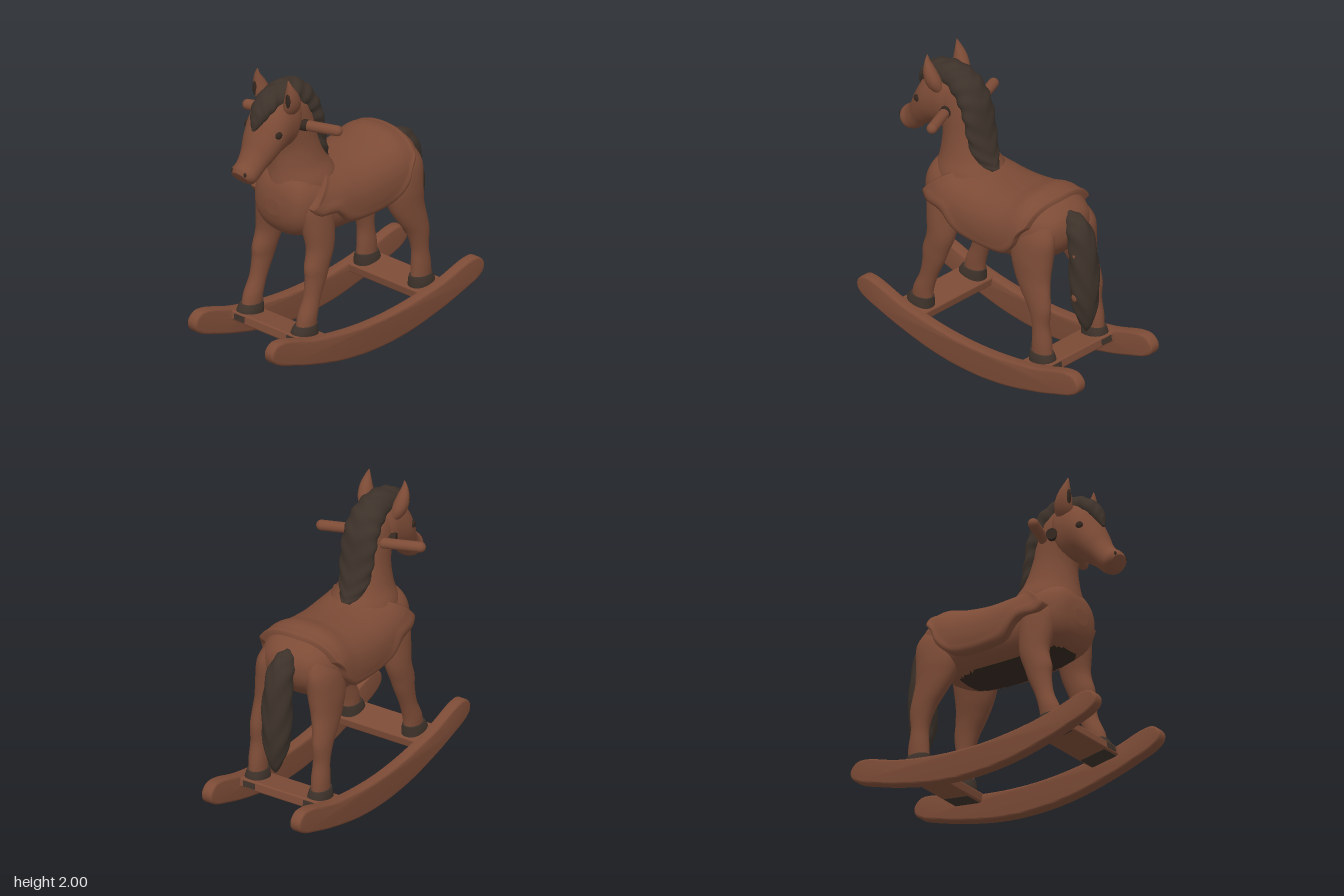
import * as THREE from 'three';
import { toCreasedNormals } from 'three/addons/utils/BufferGeometryUtils.js';
import { RoundedBoxGeometry } from 'three/addons/geometries/RoundedBoxGeometry.js';

const wood = new THREE.MeshStandardMaterial({ color: 0x7c4b36, side: THREE.DoubleSide });
wood.name = 'brownWood';
const dark = new THREE.MeshStandardMaterial({ color: 0x3d322a });
dark.name = 'darkHair';
const shade = new THREE.MeshStandardMaterial({ color: 0x33271f });
shade.name = 'darkDetail';

// Smooth interpolation of number rows, t in 0..1
function sample(rows, t) {
  const f = Math.min(t, 1) * (rows.length - 1);
  const i = Math.min(Math.floor(f), rows.length - 2), u = f - i;
  const a = rows[Math.max(i - 1, 0)], b = rows[i], c = rows[i + 1];
  const d = rows[Math.min(i + 2, rows.length - 1)];
  return b.map((v, k) => v + 0.5 * u * (c[k] - a[k]
    + u * (2 * a[k] - 5 * v + 4 * c[k] - d[k] + u * (3 * (v - c[k]) + d[k] - a[k]))));
}

function build(pos, idx) {
  // turn the faces outwards whatever the direction of the rings
  let vol = 0;
  const p = (i) => new THREE.Vector3(...pos.slice(i * 3, i * 3 + 3));
  for (let i = 0; i < idx.length; i += 3) vol += p(idx[i]).dot(p(idx[i + 1]).cross(p(idx[i + 2])));
  if (vol < 0) idx.reverse();
  const g = new THREE.BufferGeometry();
  g.setAttribute('position', new THREE.Float32BufferAttribute(pos, 3));
  g.setIndex(idx);
  g.computeVertexNormals();
  return g;
}

// Closed loft; each ring is [z1, y1, z2, y2, halfWidth, centreX], its two outline points in profile
function loft(rings, { side = 1, steps = 5, seg = 28, power = 1, ripple = null } = {}) {
  const rows = rings.map((r) => [...r, 0].slice(0, 6));
  const n = (rows.length - 1) * steps, pos = [], idx = [];
  for (let i = 0; i <= n; i++) {
    const [z1, y1, z2, y2, w, cx] = sample(rows, i / n);
    for (let j = 0; j < seg; j++) {
      const a = (j / seg) * Math.PI * 2;
      let c = Math.cos(a), s = Math.sin(a);
      if (power !== 1) {
        c = Math.sign(c) * Math.abs(c) ** power;
        s = Math.sign(s) * Math.abs(s) ** power;
      }
      const k = ripple ? 1 + ripple.amp * Math.sin(ripple.along * i / n + ripple.around * Math.acos(Math.cos(a))) : 1;
      pos.push(side * (cx + s * w * k), (y1 + y2) / 2 + (c * k * (y1 - y2)) / 2, (z1 + z2) / 2 + (c * k * (z1 - z2)) / 2);
      if (i < n) {
        const q = i * seg + j, r = i * seg + (j + 1) % seg;
        idx.push(q, r, q + seg, r, r + seg, q + seg);
      }
    }
  }
  // end caps
  for (const i of [0, n]) {
    const [z1, y1, z2, y2, , cx] = sample(rows, i / n), c = pos.length / 3;
    pos.push(side * cx, (y1 + y2) / 2, (z1 + z2) / 2);
    for (let j = 0; j < seg; j++) {
      const q = i * seg + j, r = i * seg + (j + 1) % seg;
      idx.push(...(i ? [q, r, c] : [r, q, c]));
    }
  }
  return build(pos, idx);
}

// Sorts faces into two material groups: 1 where test(y, z) holds, else 0
function paint(g, test) {
  const sets = [[], []], p = g.attributes.position, ix = g.index.array;
  for (let i = 0; i < ix.length; i += 3) {
    const f = [ix[i], ix[i + 1], ix[i + 2]];
    const mean = (get) => f.reduce((sum, v) => sum + p[get](v) / 3, 0);
    sets[test(mean('getY'), mean('getZ')) ? 1 : 0].push(...f);
  }
  g.setIndex([...sets[0], ...sets[1]]);
  g.addGroup(0, sets[0].length, 0);
  g.addGroup(sets[0].length, sets[1].length, 1);
  return g;
}

// Barrel from chest to rump
const bodyRings = [
  [0.585, 1.12, 0.585, 1.02, 0.06], [0.56, 1.22, 0.56, 0.94, 0.165], [0.5, 1.29, 0.5, 0.87, 0.225],
  [0.38, 1.3, 0.38, 0.83, 0.255], [0.2, 1.27, 0.2, 0.812, 0.275], [0, 1.26, 0, 0.81, 0.285],
  [-0.2, 1.285, -0.2, 0.817, 0.285], [-0.34, 1.32, -0.34, 0.84, 0.28], [-0.46, 1.29, -0.46, 0.9, 0.25],
  [-0.55, 1.23, -0.55, 0.99, 0.18], [-0.59, 1.16, -0.59, 1.07, 0.07]];
const POWER = 0.85;

function bodyAt(z) {
  let lo = 0, hi = 1;
  for (let k = 0; k < 25; k++) {
    const m = (lo + hi) / 2;
    if (sample(bodyRings, m)[0] > z) lo = m; else hi = m;
  }
  return sample(bodyRings, lo);
}

// Saddle cloth draped over the barrel, with a rolled hem
function clothGeometry() {
  const hem = [[0.49, 1.1], [0.44, 1.05], [0.3, 1.035], [0.19, 0.935], [0.08, 0.91], [-0.08, 0.905],
    [-0.23, 0.93], [-0.33, 1.02], [-0.37, 1.11], [-0.43, 1.17]];
  const N = 48, M = 56, pos = [], idx = [];
  for (let i = 0; i <= N; i++) for (let j = 0; j <= M; j++) {
    const t = THREE.MathUtils.clamp((i - 1) / (N - 2), 0, 1);
    const s = THREE.MathUtils.clamp((j - 1) / (M - 2), 0, 1) * 2 - 1, e = Math.abs(s);
    const [hz, hy] = sample(hem, t);
    const z = THREE.MathUtils.lerp(0.2 - 0.67 * t, hz, e ** 1.3);
    const [, top, , bottom, w] = bodyAt(z), cy = (top + bottom) / 2, h = (top - bottom) / 2;
    const v = THREE.MathUtils.clamp((hy - cy) / h, -0.95, 0.95);
    const a = s * Math.acos(Math.sign(v) * Math.abs(v) ** (1 / POWER));
    const c = Math.cos(a), sn = Math.sin(a);
    const rim = i === 0 || j === 0 || i === N || j === M;
    const edge = Math.min(t, 1 - t, (1 - e) / 2);
    const o = rim ? -0.015 : 0.018 + 0.028 * e * e + 0.01 * Math.exp(-((edge - 0.03) ** 2) / 0.0005);
    pos.push(Math.sign(sn) * Math.abs(sn) ** POWER * w + sn * o, cy + Math.sign(c) * Math.abs(c) ** POWER * h + Math.max(c, 0) * o, z);
    if (i < N && j < M) {
      const q = i * (M + 1) + j;
      idx.push(q, q + 1, q + M + 1, q + 1, q + M + 2, q + M + 1);
    }
  }
  return build(pos.map((v, k) => (k % 3 === 1 ? v - 1 : v)), idx).translate(0, 1, 0);
}

function rockerGeometry() {
  const half = [[0.3, 0.213], [0.6, 0.263], [0.84, 0.333], [0.92, 0.332], [0.968, 0.285], [0.965, 0.235],
    [0.92, 0.193], [0.77, 0.138], [0.6, 0.087], [0.3, 0.022]];
  const pts = [[0, 0.195], ...half, [0, 0], ...half.map(([z, y]) => [-z, y]).reverse()];
  const curve = new THREE.CatmullRomCurve3(pts.map(([z, y]) => new THREE.Vector3(z, y, 0)), true);
  const shape = new THREE.Shape(curve.getPoints(100).slice(0, -1).map((p) => new THREE.Vector2(p.x, p.y)));
  const g = new THREE.ExtrudeGeometry(shape, { depth: 0.05, bevelThickness: 0.015, bevelSize: 0.015, bevelOffset: -0.015, bevelSegments: 3 });
  return toCreasedNormals(g.rotateY(-Math.PI / 2).translate(0.025, 0, 0), 0.6);
}

export function createModel() {
  const model = new THREE.Group();
  const add = (name, geometry, material, x = 0, y = 0, z = 0, parent = model) => {
    const m = new THREE.Mesh(geometry, material);
    m.name = name;
    m.position.set(x, y, z);
    parent.add(m);
    return m;
  };

  // Body with a dark underside
  add('body', paint(loft(bodyRings, { power: POWER, seg: 56, steps: 7 }), (y, z) => z > -0.3 && y < (z > 0.3 ? 0.865 : 0.84)), [wood, shade]);
  add('saddleCloth', clothGeometry(), wood);
  add('neck', loft([
    [0.53, 1.0, 0, 1.06, 0.2], [0.56, 1.18, 0.08, 1.24, 0.22], [0.538, 1.32, 0.16, 1.36, 0.165],
    [0.53, 1.45, 0.215, 1.5, 0.134], [0.56, 1.56, 0.25, 1.66, 0.125], [0.62, 1.66, 0.31, 1.8, 0.12],
    [0.62, 1.78, 0.42, 1.87, 0.09]]), wood);
  add('head', loft([
    [0.35, 1.8, 0.42, 1.58, 0.06], [0.43, 1.87, 0.47, 1.49, 0.13], [0.55, 1.88, 0.53, 1.475, 0.148],
    [0.67, 1.79, 0.6, 1.46, 0.152], [0.755, 1.65, 0.66, 1.42, 0.13], [0.8, 1.55, 0.71, 1.385, 0.105],
    [0.85, 1.48, 0.765, 1.335, 0.092], [0.892, 1.45, 0.81, 1.315, 0.09], [0.91, 1.415, 0.85, 1.335, 0.065]]), wood);

  // Hair with slanted locks
  add('mane', loft([
    [0.765, 1.665, 0.75, 1.66, 0.01], [0.758, 1.74, 0.68, 1.71, 0.05], [0.715, 1.83, 0.62, 1.76, 0.08],
    [0.61, 1.905, 0.53, 1.78, 0.09], [0.45, 1.93, 0.42, 1.73, 0.105], [0.31, 1.875, 0.35, 1.65, 0.118],
    [0.215, 1.73, 0.31, 1.56, 0.125], [0.172, 1.53, 0.28, 1.44, 0.118], [0.125, 1.37, 0.235, 1.31, 0.09],
    [0.09, 1.29, 0.17, 1.25, 0.04]], { steps: 12, seg: 48, ripple: { amp: 0.045, along: 75, around: 5 } }), dark);
  add('tail', loft([
    [-0.53, 1.24, -0.53, 1.12, 0.05], [-0.6, 1.235, -0.56, 1.08, 0.075], [-0.7, 1.16, -0.57, 1.0, 0.09],
    [-0.75, 0.98, -0.575, 0.88, 0.098], [-0.765, 0.78, -0.58, 0.72, 0.098], [-0.76, 0.62, -0.6, 0.58, 0.08],
    [-0.73, 0.48, -0.645, 0.47, 0.04], [-0.69, 0.415, -0.685, 0.415, 0.006]],
  { steps: 12, seg: 48, ripple: { amp: 0.045, along: 32, around: 5 } }), dark);
  // worn spots on the left of the tail
  for (const [y, z, r] of [[0.69, -0.67, 0.028], [0.99, -0.665, 0.016]]) {
    add('tailWear', new THREE.SphereGeometry(r, 12, 10).scale(0.4, 1, 0.8), wood, 0.093, y, z);
  }

  // Level leg rings: [y, frontZ, backZ, halfWidth, centreX]
  const level = (rows) => rows.map(([y, f, b, w, x]) => [f, y, b, y, w, x]);
  const legs = {
    front: [[0.29, 0.6, 0.445, 0.055, 0.24], [0.37, 0.58, 0.435, 0.058, 0.24], [0.48, 0.53, 0.4, 0.053, 0.237],
      [0.6, 0.51, 0.345, 0.06, 0.234], [0.68, 0.51, 0.315, 0.068, 0.23], [0.8, 0.48, 0.27, 0.077, 0.222],
      [0.95, 0.5, 0.25, 0.09, 0.2], [1.1, 0.51, 0.24, 0.085, 0.18], [1.22, 0.43, 0.29, 0.05, 0.15]],
    hind: [[0.29, -0.45, -0.605, 0.055, 0.24], [0.38, -0.455, -0.6, 0.057, 0.24], [0.5, -0.455, -0.58, 0.053, 0.24],
      [0.62, -0.41, -0.59, 0.06, 0.238], [0.72, -0.34, -0.575, 0.07, 0.23], [0.82, -0.28, -0.56, 0.085, 0.215],
      [0.95, -0.24, -0.565, 0.1, 0.2], [1.1, -0.26, -0.57, 0.09, 0.185], [1.22, -0.33, -0.51, 0.05, 0.15]] };
  const hooves = {
    front: [[0.22, 0.635, 0.44, 0.073, 0.24], [0.27, 0.632, 0.44, 0.07, 0.24], [0.31, 0.605, 0.44, 0.06, 0.24]],
    hind: [[0.22, -0.44, -0.63, 0.073, 0.24], [0.27, -0.44, -0.625, 0.07, 0.24], [0.31, -0.445, -0.61, 0.06, 0.24]] };

  const rocker = rockerGeometry();
  for (const side of [1, -1]) {
    const label = side > 0 ? 'left' : 'right';
    for (const end of ['front', 'hind']) {
      add(`${label}${end}Leg`, loft(level(legs[end]), { side }), wood);
      add(`${label}${end}Hoof`, loft(level(hooves[end]), { side, power: 0.85 }), dark);
    }
    add(`${label}Rocker`, rocker, wood, side * 0.34);

    // Ears with a dark hollow
    add(`${label}Ear`, loft([
      [0.56, 1.72, 0.49, 1.72, 0.02, 0.09], [0.59, 1.78, 0.47, 1.77, 0.043, 0.115], [0.597, 1.84, 0.475, 1.83, 0.05, 0.132],
      [0.595, 1.9, 0.51, 1.9, 0.04, 0.142], [0.588, 1.96, 0.555, 1.96, 0.02, 0.142], [0.58, 2.0, 0.575, 2.0, 0.003, 0.136]], { side }), wood);
    add(`${label}EarHollow`, new THREE.SphereGeometry(1, 16, 12).scale(0.02, 0.05, 0.01), shade, side * 0.146, 1.865, 0.591);

    // Face details
    add(`${label}Eye`, new THREE.SphereGeometry(0.028, 18, 14).scale(0.6, 0.9, 1), shade, side * 0.138, 1.645, 0.665);
    add(`${label}Nostril`, new THREE.SphereGeometry(0.013, 14, 10).scale(0.8, 1.2, 0.7), shade, side * 0.055, 1.415, 0.889);

    // Handles, both on the same slant
    const aim = new THREE.Quaternion().setFromUnitVectors(new THREE.Vector3(0, 1, 0), new THREE.Vector3(0.93, 0, -0.36).normalize());
    const mid = side > 0 ? 0.385 : 0.41;
    add(`${label}Handle`, new THREE.CapsuleGeometry(0.035, 0.24, 8, 20), wood, side * 0.23, 1.637, mid).quaternion.copy(aim);
    add(`${label}HandleSocket`, new THREE.CylinderGeometry(0.038, 0.038, 0.05, 20), shade, side * 0.13, 1.637, mid + 0.039).quaternion.copy(aim);
  }

  // Tilted planks joining the rockers, stained dark beneath the hooves
  for (const end of [1, -1]) {
    const label = end > 0 ? 'front' : 'back';
    const plank = add(`${label}Plank`, new RoundedBoxGeometry(0.64, 0.065, 0.22, 3, 0.012), wood, 0, 0.217, end * 0.537);
    plank.rotation.x = -end * 0.15;
    for (const side of [1, -1]) {
      add(`${label}PlankUnderStain`, new THREE.BoxGeometry(0.13, 0.006, 0.19), dark, side * 0.235, -0.032, 0, plank);
      add(`${label}PlankFaceStain`, new THREE.BoxGeometry(0.09, 0.04, 0.006), dark, side * 0.23, 0, end * 0.11, plank);
    }
  }
  return model;
}
